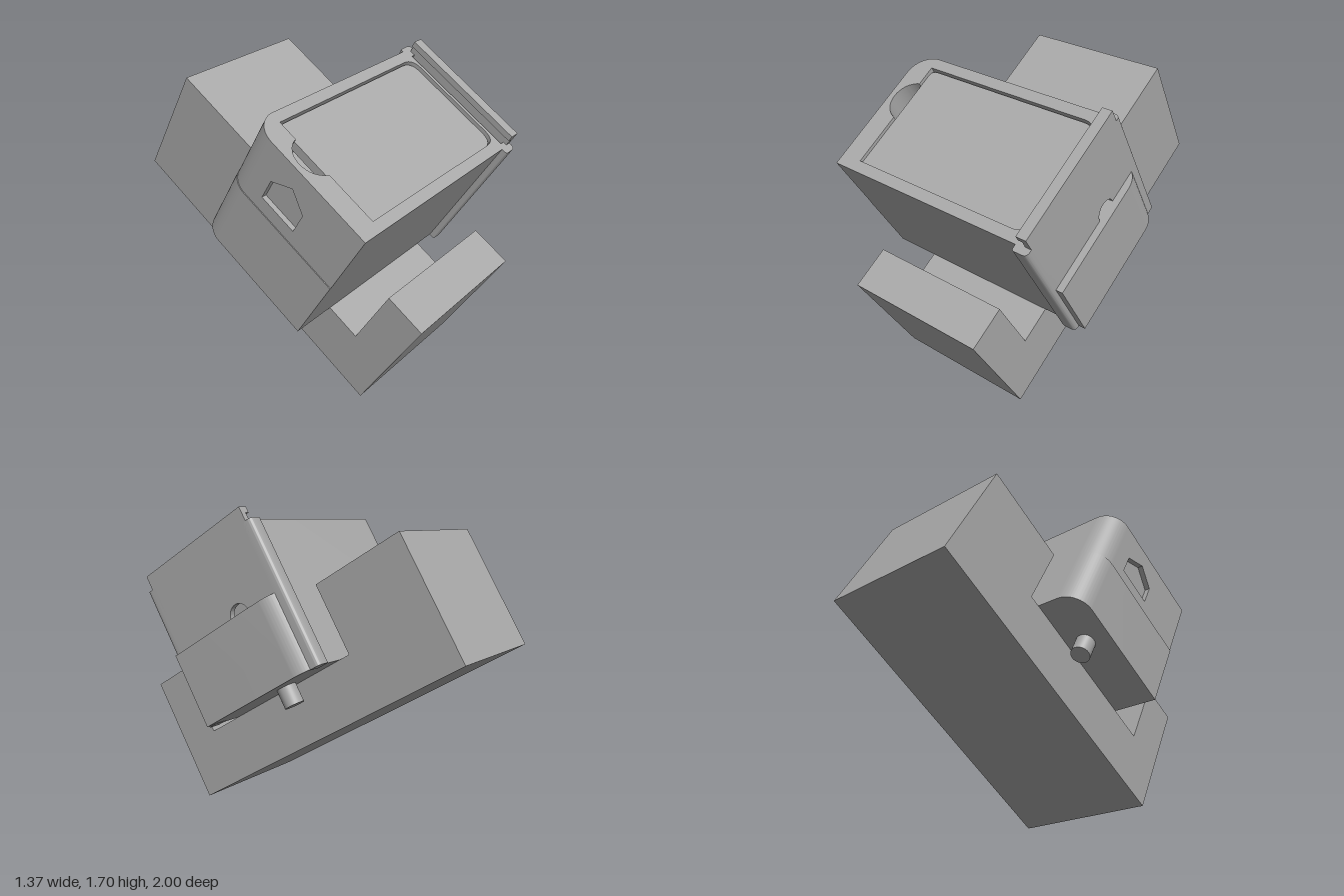
import * as THREE from 'three';
import { toCreasedNormals } from 'three/addons/utils/BufferGeometryUtils.js';

const grey = new THREE.MeshStandardMaterial({ color: 0xa8a8a8 });
grey.name = 'plainGrey';

export function createModel() {
  const model = new THREE.Group();
  model.name = 'boxOnTiltedStand';

  // Everything is built upright, then tilted: u runs along the stand (-z), v is up
  const tilted = new THREE.Group();
  tilted.name = 'tiltedAssembly';
  tilted.rotation.x = Math.PI / 6;
  tilted.position.z = 0.63;
  model.add(tilted);

  const add = (name, geometry) => {
    const mesh = new THREE.Mesh(toCreasedNormals(geometry, 0.5), grey);
    mesh.name = name;
    tilted.add(mesh);
    return mesh;
  };
  const polygon = (points) => new THREE.Shape(points.map(([a, b]) => new THREE.Vector2(a, b)));
  const extrude = (shape, depth) =>
    new THREE.ExtrudeGeometry(shape, { depth, bevelEnabled: false, curveSegments: 16 });
  // Plan outline (x, u) raised from v0 to v1
  const raise = (name, shape, v0, v1) =>
    add(name, extrude(shape, v1 - v0).rotateX(-Math.PI / 2).translate(0, v0, 0));
  // Side outline (u, v) swept from x0 to x1
  const sweep = (name, shape, x0, x1) =>
    add(name, extrude(shape, x1 - x0).rotateY(Math.PI / 2).translate(x0, 0, 0));

  const FLOOR = 0.328, SEAM = 0.765, TOP = 1.172;
  const FRONT = 0.45, BACK = 1.25, R = 0.14;

  // U-shaped stand
  sweep('stand', polygon([
    [0, 0], [1.884, 0], [1.884, 0.74], [1.315, 0.74],
    [1.315, FLOOR], [0.2415, FLOOR], [0.2415, 0.74], [0, 0.74],
  ]), -0.42, 0.42);

  // Lower half of the box, rounded at both back corners
  const lower = new THREE.Shape();
  lower.moveTo(-0.685, FRONT);
  lower.lineTo(0.685, FRONT);
  lower.absarc(0.685 - R, BACK - R, R, 0, Math.PI / 2, false);
  lower.absarc(-0.685 + R, BACK - R, R, Math.PI / 2, Math.PI, false);
  lower.closePath();
  raise('lowerBox', lower, FLOOR, SEAM);

  // Hollow upper half with a finger notch beside the opening
  const upper = new THREE.Shape();
  upper.moveTo(-0.65, FRONT);
  upper.lineTo(0.585, FRONT);
  upper.lineTo(0.585, BACK);
  upper.absarc(-0.68 + R, BACK - R, R, Math.PI / 2, Math.PI, false);
  upper.lineTo(-0.65, BACK - R);
  upper.closePath();
  const opening = new THREE.Path();
  opening.moveTo(-0.55, 0.515);
  opening.lineTo(0.485, 0.515);
  opening.quadraticCurveTo(0.565, 0.515, 0.565, 0.595);
  opening.lineTo(0.565, 1.105);
  opening.quadraticCurveTo(0.565, 1.185, 0.485, 1.185);
  opening.lineTo(-0.55, 1.185);
  opening.lineTo(-0.55, 1.066);
  opening.absarc(-0.52, 0.945, 0.125, Math.PI - 1.328, Math.PI + 1.328, false);
  opening.closePath();
  upper.holes.push(opening);
  raise('upperBox', upper, SEAM, TOP);

  // Outer skin of the side wall with a house-shaped hole
  const wall = polygon([[FRONT, SEAM], [BACK - R, SEAM], [BACK - R, TOP], [FRONT, TOP]]);
  wall.holes.push(polygon([
    [0.777, 0.845], [1.013, 0.845], [1.013, 0.975], [0.895, 1.055], [0.777, 0.975],
  ]));
  sweep('sideWall', wall, -0.68, -0.65);

  // Recessed top panel
  const panel = new THREE.Shape();
  panel.moveTo(-0.55, 0.517);
  panel.lineTo(0.48, 0.517);
  panel.quadraticCurveTo(0.56, 0.517, 0.56, 0.597);
  panel.lineTo(0.56, 1.1);
  panel.quadraticCurveTo(0.56, 1.18, 0.48, 1.18);
  panel.lineTo(-0.51, 1.18);
  panel.quadraticCurveTo(-0.55, 1.18, -0.55, 1.14);
  panel.closePath();
  raise('topPanel', panel, 1.1, 1.152);

  // Sliding end plate with a small finger cut-out and a lip on top
  const plate = new THREE.Shape();
  plate.moveTo(0.457, SEAM);
  plate.lineTo(0.88, SEAM);
  plate.absarc(0.945, SEAM, 0.065, Math.PI, 0, true);
  plate.lineTo(1.234, SEAM);
  plate.lineTo(1.234, 1.23);
  plate.lineTo(0.457, 1.23);
  plate.closePath();
  sweep('slidingPlate', plate, 0.61, 0.645);
  sweep('plateLip', polygon([[0.457, 1.22], [1.234, 1.22], [1.234, 1.255], [0.457, 1.255]]), 0.585, 0.645);

  // Rounded guide rails at the front and back of the plate
  for (const [name, outer, inner] of [['frontRail', 0.415, 0.48], ['backRail', 1.27, 1.2]]) {
    const s = Math.sign(inner - outer) * 0.03;
    const rail = new THREE.Shape();
    rail.moveTo(0.555, inner);
    rail.lineTo(0.555, outer + s / 2);
    rail.quadraticCurveTo(0.555, outer, 0.57, outer);
    rail.lineTo(0.615, outer);
    rail.quadraticCurveTo(0.645, outer, 0.645, outer + s);
    rail.lineTo(0.645, inner);
    rail.closePath();
    raise(name, rail, FLOOR - 0.002, TOP);
  }

  // Pegs under the box, one on each side of the stand
  for (const side of [-1, 1]) {
    add(side > 0 ? 'leftPeg' : 'rightPeg', new THREE.CylinderGeometry(0.055, 0.055, 0.13, 32))
      .position.set(side * 0.53, 0.284, -0.94);
  }
  return model;
}
